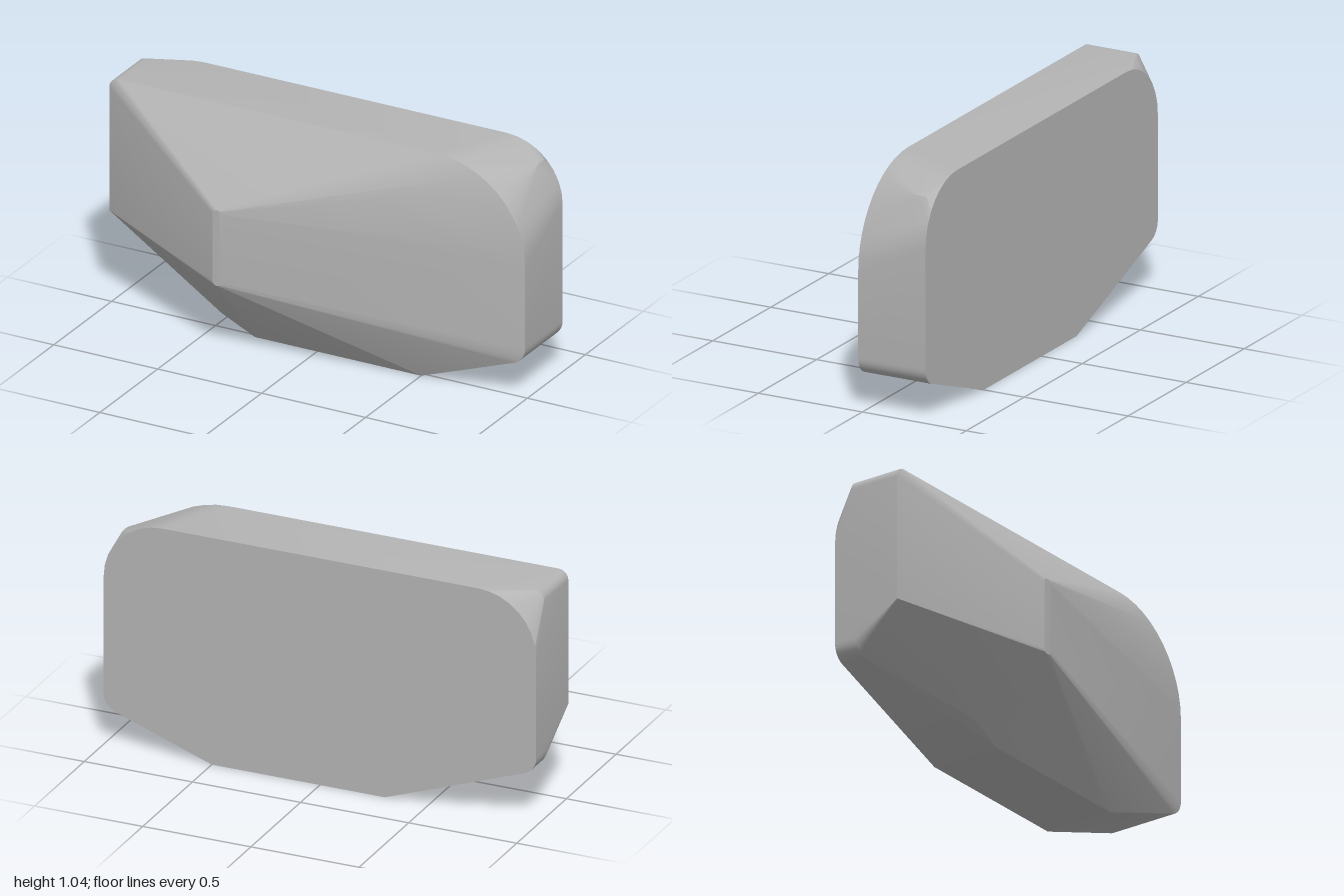
import * as THREE from 'three';
import { ConvexGeometry } from 'three/addons/geometries/ConvexGeometry.js';
import { toCreasedNormals } from 'three/addons/utils/BufferGeometryUtils.js';

// Points along a rounded corner: centre, radius, start and end angle in degrees
function arc(cx, cy, r, from, to, z, steps = 6) {
  return Array.from({ length: steps + 1 }, (_, i) => {
    const a = THREE.MathUtils.degToRad(from + ((to - from) * i) / steps);
    return new THREE.Vector3(cx + r * Math.cos(a), cy + r * Math.sin(a), z);
  });
}

const at = (x, y, z) => new THREE.Vector3(x, y, z);

export function createModel() {
  const group = new THREE.Group();
  group.name = 'facetedStone';

  const grey = new THREE.MeshStandardMaterial({ color: 0xb4b4b4 });
  grey.name = 'stoneGrey';

  const top = 1.045, back = -0.305, mid = 0.02, front = 0.305;
  const points = [];

  // Flat back outline with two broad upper corners
  points.push(
    ...arc(0.73, top - 0.27, 0.27, 0, 90, back, 8),
    ...arc(-0.73, top - 0.27, 0.27, 90, 180, back, 8),
    ...arc(-0.92, 0.308, 0.08, 180, 250, back),
    at(-0.3, 0, back), at(0.5, 0, back),
    ...arc(0.92, 0.235, 0.08, -70, 0, back)
  );

  // Corners that swell out just ahead of the back
  points.push(
    ...arc(-0.955, top - 0.045, 0.045, 90, 180, -0.22),
    ...arc(-0.92, 0.308, 0.08, 180, 250, -0.195),
    at(0.93, 0.98, -0.22), at(0.93, 0.98, -0.27)
  );

  // Widest outline, with a cut lower corner and one large upper round
  points.push(
    ...arc(0.57, top - 0.43, 0.43, 0, 90, mid, 12),
    ...arc(-0.955, top - 0.045, 0.045, 90, 180, mid),
    at(-1, 0.43, mid), at(-0.46, 0.075, mid),
    at(-0.3, 0, mid), at(0.5, 0, mid),
    ...arc(0.92, 0.235, 0.08, -70, 0, mid)
  );

  // Narrow upright ridge at the front
  const r = 0.02;
  points.push(
    ...arc(-0.32, 0.675, r, 0, 90, front, 4),
    ...arc(-0.325, 0.675, r, 90, 180, front, 4),
    ...arc(-0.325, 0.365, r, 180, 270, front, 4),
    ...arc(-0.32, 0.365, r, 270, 360, front, 4)
  );

  const body = new THREE.Mesh(toCreasedNormals(new ConvexGeometry(points), 0.3), grey);
  body.name = 'body';
  group.add(body);
  return group;
}
